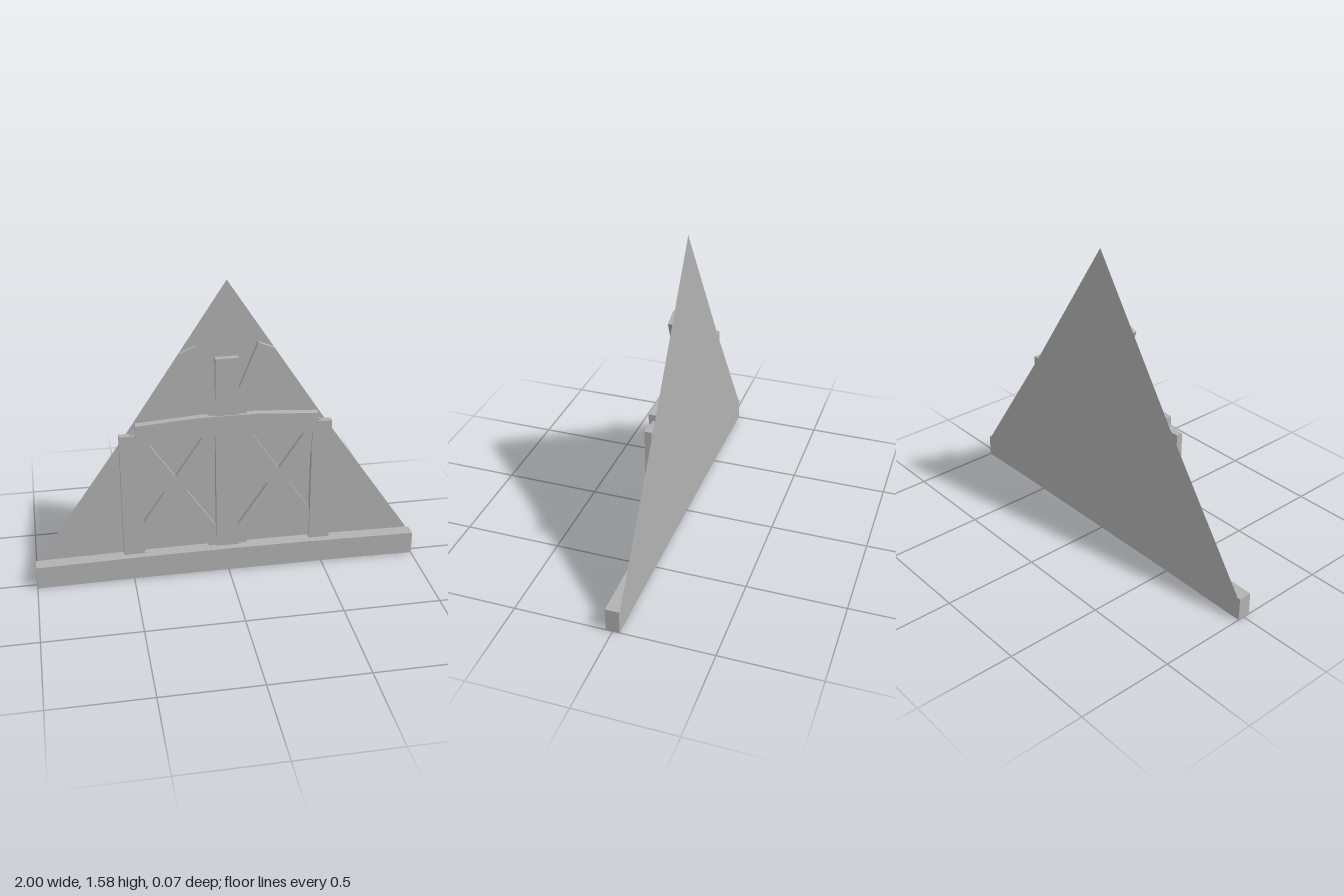
import * as THREE from 'three';

const BACK = -0.035;

export function createModel() {
  const group = new THREE.Group();
  const grey = new THREE.MeshStandardMaterial({ color: 0xb2b2b2, side: THREE.DoubleSide });

  const outline = (points) => new THREE.Shape(points.map(([x, y]) => new THREE.Vector2(x, y)));
  const add = (name, geometry) => {
    const mesh = new THREE.Mesh(geometry, grey);
    mesh.name = name;
    group.add(mesh);
    return mesh;
  };

  // Timber cut from a front outline, running from the back plane to a front depth
  const timber = (name, points, front) => {
    const geometry = new THREE.ExtrudeGeometry(outline(points), { depth: front - BACK, bevelEnabled: false });
    geometry.translate(0, 0, BACK);
    return add(name, geometry);
  };

  // Straight slanted timber between two points on its centre line
  const brace = (name, [x0, y0], [x1, y1], width) => {
    const length = Math.hypot(x1 - x0, y1 - y0);
    const nx = (-(y1 - y0) / length) * width / 2;
    const ny = ((x1 - x0) / length) * width / 2;
    timber(name, [[x0 - nx, y0 - ny], [x1 - nx, y1 - ny], [x1 + nx, y1 + ny], [x0 + nx, y0 + ny]], -0.013);
  };

  // Thin gable wall
  const wall = add('gableWall', new THREE.ShapeGeometry(outline([
    [-0.98, 0.02], [0.98, 0.02], [0.98, 0.13], [0.5, 0.823], [0, 1.58], [-0.5, 0.823], [-0.98, 0.13],
  ])));
  wall.position.z = BACK;

  // Slightly bowed base beam
  timber('baseBeam', [
    [-1, 0], [-0.45, 0.005], [0.65, 0.005], [1, 0], [1, 0.122], [0.4, 0.131], [0, 0.133], [-0.4, 0.131], [-1, 0.122],
  ], 0.035);

  // Arched collar beam
  timber('collarBeam', [
    [-0.465, 0.752], [-0.16, 0.774], [0.15, 0.774], [0.463, 0.752],
    [0.463, 0.864], [0.15, 0.885], [-0.15, 0.885], [-0.465, 0.864],
  ], 0.004);

  // Upright posts
  timber('centrePost', [[-0.06, 0.02], [0.058, 0.02], [0.054, 1.19], [-0.062, 1.19]], -0.002);
  timber('rightPost', [[-0.545, 0.02], [-0.437, 0.02], [-0.437, 0.81], [-0.547, 0.81]], -0.002);
  timber('leftPost', [[0.437, 0.02], [0.547, 0.02], [0.537, 0.815], [0.437, 0.815]], -0.002);

  for (const side of [-1, 1]) {
    const label = side > 0 ? 'left' : 'right';
    // Crossed braces in each lower bay
    for (const lean of [-1, 1]) {
      const dx = 0.228 * lean, dy = 0.338;
      brace(label + 'CrossBrace', [side * 0.268 - dx, 0.471 - dy], [side * 0.268 + dx, 0.471 + dy], 0.096);
    }
    // Fanned struts above the collar beam
    brace(label + 'UpperStrut', [side * 0.027, 0.83], [side * 0.194, 1.242], 0.087);
  }

  return group;
}
